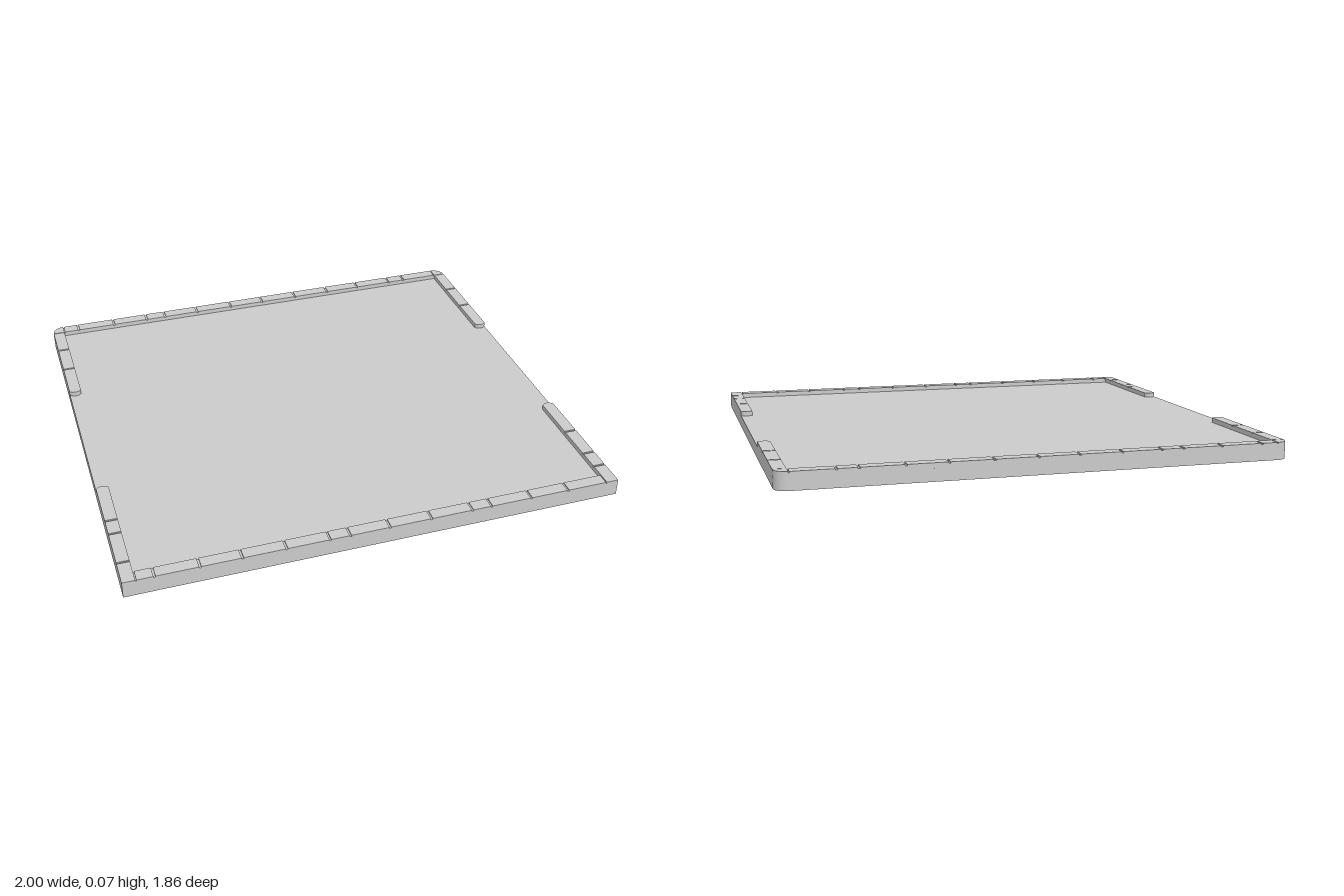
import * as THREE from 'three';

const W = 1, D = 0.93, RIM = 0.05, IN = W - RIM, ZIN = D - RIM;
const DECK_TOP = 0.05, DECK_BOTTOM = 0.038, GROOVE = 0.065, TOP = 0.07, GAP = 0.008;

export function createModel() {
  const model = new THREE.Group();
  const material = new THREE.MeshStandardMaterial({ color: 0xcccccc });

  // Extrude a plan outline (x, z) between two heights
  function slab(name, shape, y0, y1, parent = model) {
    const geo = new THREE.ExtrudeGeometry(shape, { depth: y1 - y0, bevelEnabled: false, curveSegments: 8 });
    geo.rotateX(Math.PI / 2).translate(0, y1, 0);
    const mesh = new THREE.Mesh(geo, material);
    mesh.name = name;
    parent.add(mesh);
    return mesh;
  }
  const outline = (pts) => new THREE.Shape(pts.map(([x, z]) => new THREE.Vector2(x, z)));
  const rect = (x0, x1, z0, z1) => outline([[x0, z0], [x1, z0], [x1, z1], [x0, z1]]);

  // Tray outline: square front corners, rounded back corners
  function trayOutline() {
    const s = new THREE.Shape();
    s.moveTo(-W, D);
    s.lineTo(-W, -D + RIM);
    s.absarc(-IN, -ZIN, RIM, Math.PI, Math.PI * 1.5, false);
    s.lineTo(IN, -D);
    s.absarc(IN, -ZIN, RIM, -Math.PI / 2, 0, false);
    s.lineTo(W, D);
    return s;
  }

  // Deck plate and the skirt below it
  slab('deck', trayOutline(), DECK_BOTTOM, DECK_TOP);
  const skirt = trayOutline();
  skirt.holes.push(rect(-IN, IN, -ZIN, ZIN));
  slab('skirt', skirt, 0, DECK_BOTTOM);

  // Cross beams under the deck
  for (const z of [-0.35, 0.35]) slab('crossBeam', rect(-IN, IN, z - 0.03, z + 0.03), 0, DECK_BOTTOM);

  // Curb stone: solid foot, with a slightly smaller cap that leaves a groove at each joint
  const curb = new THREE.Group();
  curb.name = 'curb';
  model.add(curb);
  const g = GAP / 2;

  // Straight rows along the front and back
  const rows = {
    back: [-0.95, -0.88, -0.71, -0.55, -0.46, -0.3, -0.13, 0.03, 0.2, 0.37, 0.53, 0.7, 0.78, 0.95],
    front: [-0.95, -0.88, -0.71, -0.55, -0.38, -0.21, -0.13, 0.03, 0.2, 0.37, 0.45, 0.62, 0.78, 0.95],
  };
  for (const [side, joints] of Object.entries(rows)) {
    const [z0, z1] = side === 'back' ? [-D, -ZIN] : [ZIN, D];
    slab(side + 'CurbFoot', rect(-IN, IN, z0, z1), DECK_TOP, GROOVE, curb);
    for (let i = 0; i < joints.length - 1; i++)
      slab(side + 'CurbStone', rect(joints[i] + g, joints[i + 1] - g, z0, z1), GROOVE, TOP, curb);
  }

  // Side rows: each runs from a corner to a blunt pointed end
  const pointedEnd = (x0, x1, zFrom, zTip) => {
    const s = Math.sign(zTip - zFrom), m = 0.012;
    return outline([[x0, zFrom], [x1, zFrom], [x1, zTip - s * m], [x1 - m, zTip - s * 0.003],
      [(x0 + x1) / 2, zTip], [x0 + m, zTip - s * 0.003], [x0, zTip - s * m]]);
  };
  for (const side of [-1, 1]) {
    const [x0, x1] = side < 0 ? [-W, -IN] : [IN, W];

    // Back corner stone, rounded outside
    const corner = new THREE.Shape();
    corner.moveTo(side * IN, -ZIN);
    corner.lineTo(side * IN, -D);
    corner.absarc(side * IN, -ZIN, RIM, -Math.PI / 2, side < 0 ? -Math.PI : 0, side < 0);
    slab('backCornerStone', corner, DECK_TOP, TOP, curb);

    const ends = [
      { name: 'backSide', joints: [-ZIN, -0.72, -0.55], tip: -0.35 },
      { name: 'frontSide', joints: [D + g, 0.82, side < 0 ? 0.65 : 0.73, 0.57], tip: 0.35 },
    ];
    for (const { name, joints, tip } of ends) {
      const start = name === 'frontSide' ? D : joints[0];
      const s = Math.sign(tip - start);
      slab(name + 'CurbFoot', pointedEnd(x0, x1, start, tip), DECK_TOP, GROOVE, curb);
      joints.forEach((z, i) => {
        const from = z + s * g;
        const stone = i < joints.length - 1
          ? rect(x0, x1, from, joints[i + 1] - s * g)
          : pointedEnd(x0, x1, from, tip);
        slab(name + 'CurbStone', stone, GROOVE, TOP, curb);
      });
    }
  }
  return model;
}
